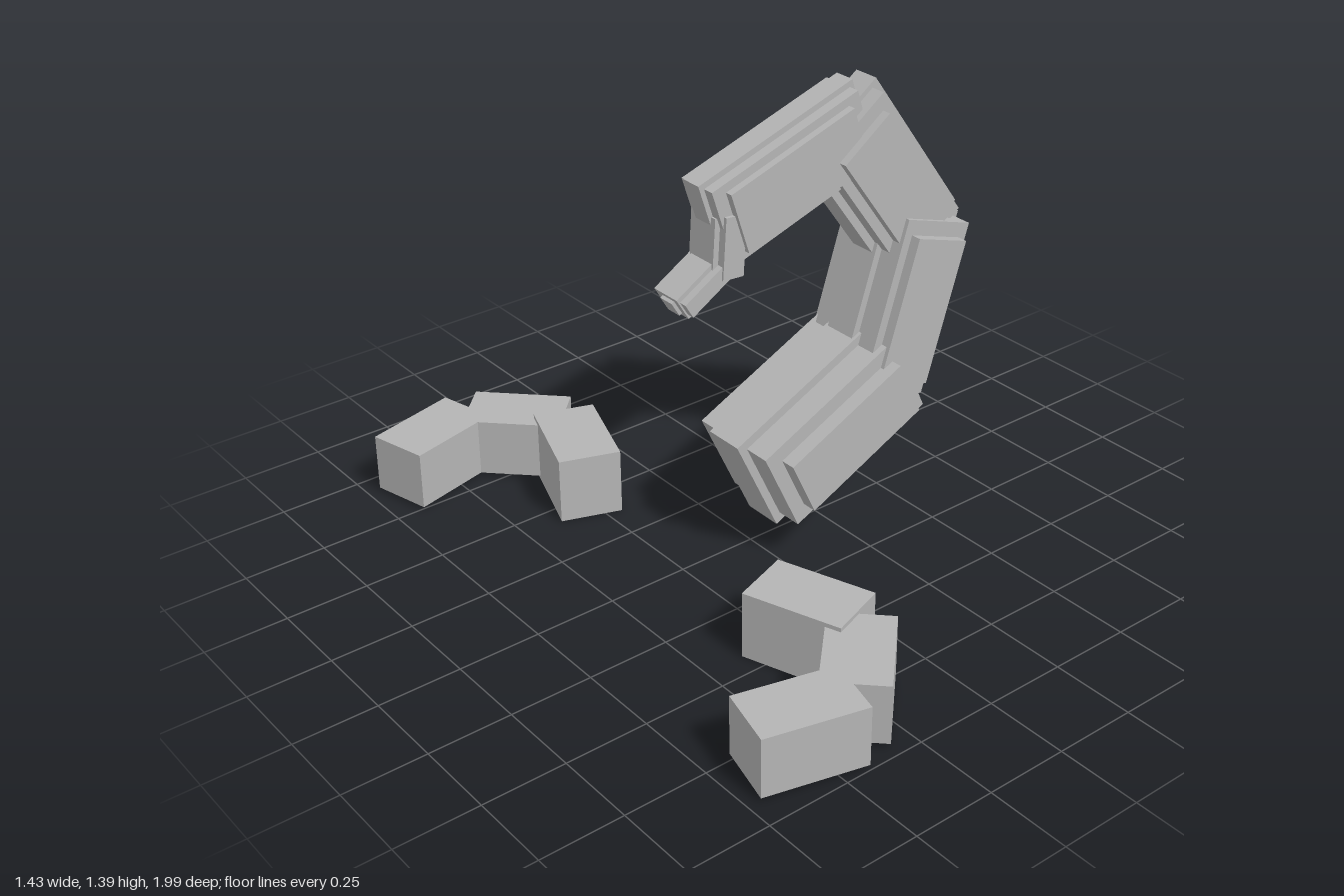
import * as THREE from 'three';

export function createModel() {
  const model = new THREE.Group();
  const grey = new THREE.MeshStandardMaterial({ color: 0xb4b4b4 });
  const MID_Z = 0.03;

  // Stepped segment: nested boxes [length, height, depth] sharing one centre
  function segment(name, x, y, degrees, boxes) {
    const group = new THREE.Group();
    group.name = name;
    boxes.forEach((size, i) => {
      const mesh = new THREE.Mesh(new THREE.BoxGeometry(...size), grey);
      mesh.name = `${name}Layer${i + 1}`;
      group.add(mesh);
    });
    group.position.set(x, y, MID_Z);
    group.rotation.z = THREE.MathUtils.degToRad(degrees);
    model.add(group);
  }

  // Curling tail, from the base up
  segment('tailBase', 0.213, 0.369, 25.2, [
    [0.58, 0.34, 0.125], [0.53, 0.285, 0.29], [0.44, 0.192, 0.385]]);
  segment('tailLower', 0.485, 0.67, 72, [
    [0.56, 0.295, 0.105], [0.53, 0.25, 0.25], [0.44, 0.194, 0.315]]);
  segment('tailUpper', 0.423, 1.058, -54.2, [
    [0.56, 0.305, 0.08], [0.53, 0.255, 0.17], [0.444, 0.193, 0.225]]);
  segment('tailTop', 0.083, 1.167, 18, [
    [0.556, 0.28, 0.064], [0.527, 0.245, 0.13], [0.446, 0.194, 0.175]]);

  // Stinger
  segment('stingerBase', -0.137, 1.03, 86, [
    [0.165, 0.105, 0.1], [0.18, 0.07, 0.15]]);
  segment('stingerTip', -0.21, 0.931, 31, [
    [0.21, 0.05, 0.05], [0.19, 0.077, 0.09], [0.18, 0.05, 0.138]]);

  // Mirrored pincer arms: [name, x, z, turn in degrees, height]
  const arm = [
    ['pincerClaw', -0.544, 0.868, -14.3, 0.18],
    ['pincerMiddle', -0.286, 0.795, 45, 0.18],
    ['pincerInner', -0.239, 0.541, -70.5, 0.205],
  ];
  for (const side of [1, -1]) {
    const group = new THREE.Group();
    group.name = side > 0 ? 'frontPincer' : 'backPincer';
    for (const [name, x, z, turn, height] of arm) {
      const mesh = new THREE.Mesh(new THREE.BoxGeometry(0.302, height, 0.188), grey);
      mesh.name = name;
      mesh.position.set(x, 0.1035, z * side);
      mesh.rotation.y = THREE.MathUtils.degToRad(turn * side);
      group.add(mesh);
    }
    model.add(group);
  }

  return model;
}
